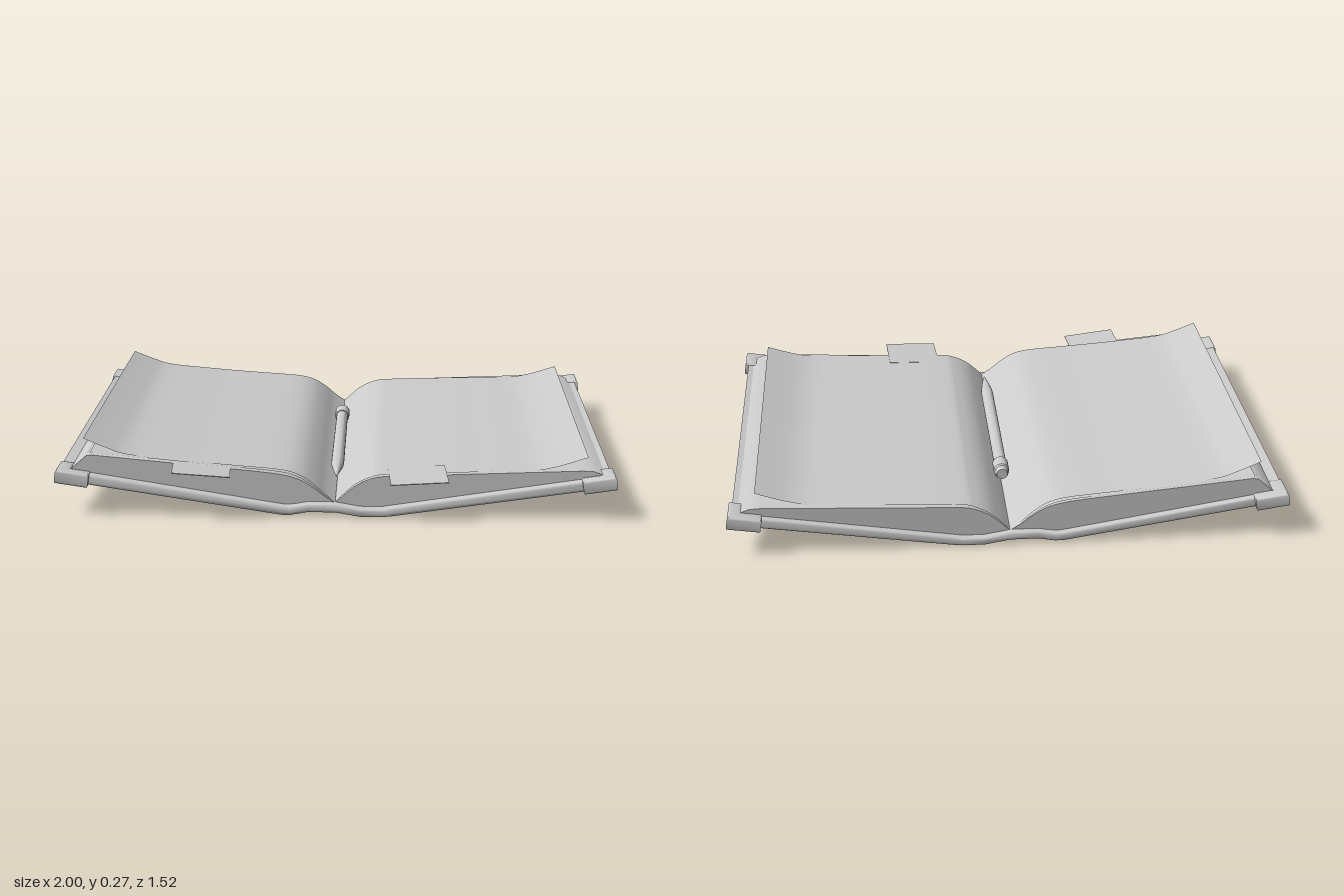
import * as THREE from 'three';
import { toCreasedNormals } from 'three/addons/utils/BufferGeometryUtils.js';

const mat = new THREE.MeshStandardMaterial({ color: 0xcccccc });
const thin = new THREE.MeshStandardMaterial({ color: 0xcccccc, side: THREE.DoubleSide });
const V = (p) => new THREE.Vector2(p[0], p[1]);
const spline = (pts, n = 24) => new THREE.SplineCurve(pts.map(V)).getPoints(n);

function add(group, name, geo, material = mat) {
  const mesh = new THREE.Mesh(geo, material);
  mesh.name = name;
  group.add(mesh);
  return mesh;
}

// Extrude a front profile between two z positions, with a small rounded edge
function slab(points, z0, z1, bevel) {
  const geo = new THREE.ExtrudeGeometry(new THREE.Shape(points), {
    depth: z1 - z0 - 2 * bevel, steps: 1, curveSegments: 6,
    bevelEnabled: bevel > 0, bevelSize: bevel, bevelThickness: bevel, bevelOffset: -bevel, bevelSegments: 3,
  });
  geo.translate(0, 0, z0 + bevel);
  return toCreasedNormals(geo, 0.6);
}

// Thin sheet following an x/y curve; its ends in z taper from fold to outer edge
function sheet(points, inner, outer) {
  const n = 32;
  const curve = spline(points, n);
  const geo = new THREE.PlaneGeometry(1, 1, n, 1);
  const pos = geo.attributes.position;
  for (let i = 0; i < pos.count; i++) {
    const k = i % (n + 1), end = i > n ? 1 : 0;
    pos.setXYZ(i, curve[k].x, curve[k].y, THREE.MathUtils.lerp(inner[end], outer[end], k / n));
  }
  geo.computeVertexNormals();
  return geo;
}

export function createModel() {
  const book = new THREE.Group();
  book.name = 'openNotebook';

  // Hard cover with a gently raised spine
  const under = [[-0.985, 0.134], [-0.19, 0.01], [-0.16, 0.01], [-0.1, 0.021], [0, 0.021], [0.09, 0.005],
    [0.17, 0.005], [0.2, 0.008], [0.982, 0.122]];
  const over = [[0.982, 0.162], [0.2, 0.042], [0.17, 0.037], [0.09, 0.037], [0, 0.053], [-0.1, 0.053],
    [-0.16, 0.042], [-0.19, 0.044], [-0.985, 0.174]];
  add(book, 'cover', slab([...under, ...over].map(V), -0.74, 0.677, 0.01));

  // Page blocks: curved top near the fold, sloped fore edge, base on the cover
  const leftTop = [...spline([[0, 0.05], [-0.04, 0.075], [-0.08, 0.106], [-0.13, 0.136], [-0.2, 0.155], [-0.32, 0.169]], 18),
    V([-0.87, 0.221]), V([-0.89, 0.218]), V([-0.95, 0.165])];
  const rightTop = [...spline([[0, 0.05], [0.03, 0.078], [0.07, 0.112], [0.12, 0.138], [0.18, 0.15], [0.3, 0.154]], 18),
    V([0.88, 0.176]), V([0.92, 0.174]), V([0.965, 0.157])];
  add(book, 'leftPages', slab([...leftTop, V([-0.19, 0.04]), V([-0.1, 0.05])].reverse(), -0.716, 0.645, 0));
  add(book, 'rightPages', slab([...rightTop, V([0.2, 0.038]), V([0.09, 0.035])], -0.716, 0.645, 0));

  // Loose top sheets, curling up at the outer edge
  add(book, 'leftLooseSheet', sheet([[0, 0.055], [-0.04, 0.083], [-0.08, 0.118], [-0.13, 0.15], [-0.2, 0.168],
    [-0.35, 0.18], [-0.55, 0.196], [-0.74, 0.216], [-0.82, 0.24], [-0.903, 0.274]], [-0.72, 0.645], [-0.69, 0.615]), thin);
  add(book, 'leftMiddleSheet', sheet([[0, 0.053], [-0.04, 0.079], [-0.08, 0.111], [-0.13, 0.142], [-0.2, 0.161],
    [-0.35, 0.175], [-0.6, 0.199], [-0.88, 0.224]], [-0.724, 0.65], [-0.705, 0.625]), thin);
  add(book, 'rightLooseSheet', sheet([[0, 0.053], [0.03, 0.083], [0.07, 0.117], [0.12, 0.142], [0.18, 0.154],
    [0.4, 0.162], [0.6, 0.168], [0.75, 0.176], [0.9, 0.22]], [-0.72, 0.648], [-0.685, 0.625]), thin);

  // Page markers sticking out at the front
  const markers = [['leftMarker', -0.476, 0.183, -0.09, 0.07], ['rightMarker', 0.295, 0.158, 0.04, 0.05]];
  for (const [name, x, y, tilt, turn] of markers) {
    const marker = add(book, name, new THREE.BoxGeometry(0.205, 0.003, 0.2), thin);
    marker.position.set(x, y, 0.655);
    marker.rotation.set(0, turn, tilt);
  }

  // L-shaped guards wrapping the four cover corners
  const guard = new THREE.Shape([[0, 0], [0.12, 0], [0.12, 0.05], [0.05, 0.05], [0.05, 0.12], [0, 0.12]].map(V));
  const guardGeo = new THREE.ExtrudeGeometry(guard, {
    depth: 0.034, bevelEnabled: true, bevelSize: 0.008, bevelThickness: 0.008, bevelOffset: -0.008, bevelSegments: 3,
  });
  guardGeo.rotateX(Math.PI / 2).translate(0, 0.017, 0);
  for (const sx of [-1, 1]) {
    for (const back of [false, true]) {
      const geo = guardGeo.clone();
      // Turn in quarter steps so the outer corner always points outward
      const quarter = back ? (sx < 0 ? 0 : -1) : (sx < 0 ? 1 : 2);
      geo.rotateY(quarter * Math.PI / 2);
      const corner = add(book, (sx < 0 ? 'left' : 'right') + (back ? 'Back' : 'Front') + 'CornerGuard',
        toCreasedNormals(geo, 0.6));
      corner.position.set(sx * 0.997, sx < 0 ? 0.154 : 0.145, back ? -0.762 : 0.694);
      corner.rotation.z = sx * 0.15;
    }
  }

  // Pen lying in the fold, tip toward the front
  const pen = new THREE.Group();
  pen.name = 'pen';
  pen.position.set(0, 0.104, 0);
  book.add(pen);
  const turned = (name, profile) => {
    const geo = new THREE.LatheGeometry(profile.map(V), 24).rotateX(Math.PI / 2);
    add(pen, name, toCreasedNormals(geo, 0.5));
  };
  turned('penBarrel', [[0, -0.36], [0.023, -0.36], [0.024, 0.34], [0.022, 0.37], [0.006, 0.48], [0.003, 0.5], [0, 0.503]]);
  turned('penCap', [[0, -0.385], [0.02, -0.385], [0.023, -0.378], [0.024, -0.362], [0.029, -0.356], [0.029, -0.296],
    [0.026, -0.29], [0.02, -0.29]]);

  return book;
}
